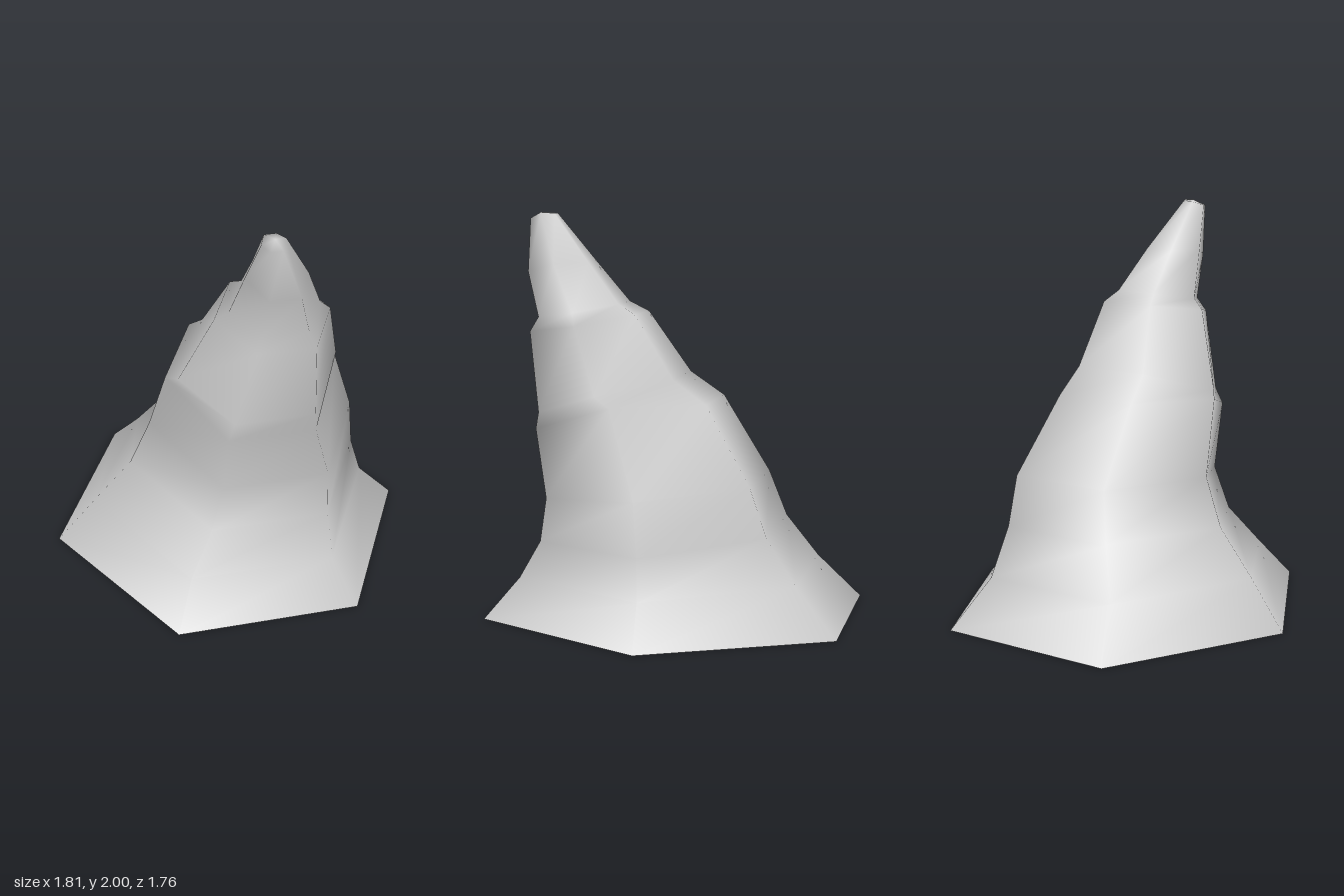
import * as THREE from 'three';

// Six-sided cross-sections, bottom to top:
// [right x, right y, left x, left y, front z, front y, back z, back y]
const RINGS = [
  [0.905, 0, -0.905, 0, 0.88, 0, -0.88, 0],
  [0.72, 0.2, -0.71, 0.24, 0.72, 0.2, -0.67, 0.23],
  [0.66, 0.4, -0.52, 0.46, 0.61, 0.39, -0.525, 0.46],
  [0.635, 0.66, -0.42, 0.7, 0.575, 0.61, -0.445, 0.7],
  [0.49, 1.08, -0.365, 1.06, 0.655, 0.94, -0.21, 1.08],
  [0.475, 1.13, -0.315, 1.09, 0.64, 1.02, -0.045, 1.2],
  [0.4, 1.46, -0.165, 1.47, 0.685, 1.42, 0.15, 1.51],
  [0.34, 1.52, -0.1, 1.52, 0.65, 1.49, 0.24, 1.56],
  [0.245, 1.75, -0.055, 1.76, 0.72, 1.71, 0.41, 1.76],
  [0.105, 2, -0.01, 1.975, 0.735, 1.97, 0.61, 1.995],
];

// Corners run right, front pair, left, back pair
function ringCorners([xr, yr, xl, yl, zf, yf, zb, yb]) {
  const mid = (xr + xl) / 2, quarter = (xr - xl) / 4, zm = (zf + zb) / 2;
  return [
    [xr, yr, zm], [mid + quarter, yf, zf], [mid - quarter, yf, zf],
    [xl, yl, zm], [mid - quarter, yb, zb], [mid + quarter, yb, zb],
  ];
}

export function createModel() {
  const group = new THREE.Group();
  group.name = 'rockSpire';
  const stone = new THREE.MeshStandardMaterial({ color: 0xcccccc, side: THREE.DoubleSide });
  stone.name = 'pale grey stone';

  const points = RINGS.flatMap(ringCorners);
  const index = [];
  // Walls between neighbouring rings, open at the base
  for (let r = 0; r < RINGS.length - 1; r++) {
    for (let k = 0; k < 6; k++) {
      const a = r * 6 + k, b = r * 6 + (k + 1) % 6;
      index.push(a, a + 6, b, b, a + 6, b + 6);
    }
  }
  // Blunt tip
  const last = (RINGS.length - 1) * 6, tip = points.length;
  points.push([0.055, 2, 0.675]);
  for (let k = 0; k < 6; k++) index.push(last + k, tip, last + (k + 1) % 6);

  const geometry = new THREE.BufferGeometry();
  geometry.setAttribute('position', new THREE.Float32BufferAttribute(points.flat(), 3));
  geometry.setIndex(index);
  geometry.computeVertexNormals();

  const spire = new THREE.Mesh(geometry, stone);
  spire.name = 'spire';
  group.add(spire);
  return group;
}
